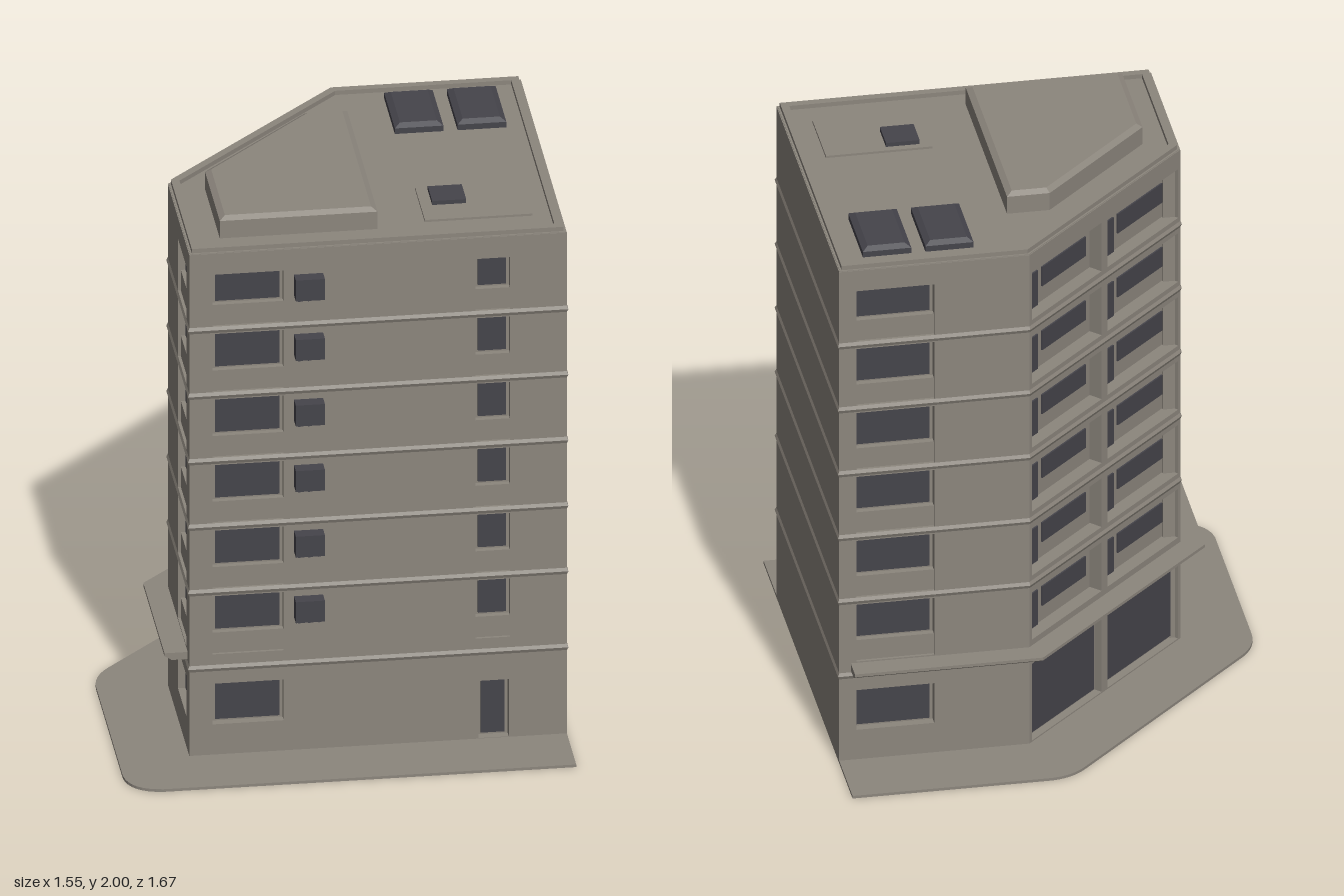
import * as THREE from 'three';

const concrete = new THREE.MeshStandardMaterial({ color: 0x8c867d });
concrete.name = 'concrete';
const dark = new THREE.MeshStandardMaterial({ color: 0x45444b });
dark.name = 'darkGlass';

// Plans are [x, z] lists, counter-clockwise when seen from above
const plan = [[-0.53, 0.59], [0.77, 0.59], [0.77, -0.59], [0.11, -0.59], [-0.53, 0.04]];
const floors = [0.38, 0.63, 0.88, 1.13, 1.38, 1.63];
const rect = (x0, x1, z0, z1) => [[x0, z1], [x1, z1], [x1, z0], [x0, z0]];

// Mitred outward offset of a plan
function offset(pts, d) {
  const n = pts.length;
  const normal = (a, b) => {
    const l = Math.hypot(b[0] - a[0], b[1] - a[1]);
    return [-(b[1] - a[1]) / l, (b[0] - a[0]) / l];
  };
  return pts.map((p, i) => {
    const m = normal(pts[(i + n - 1) % n], p), k = normal(p, pts[(i + 1) % n]);
    const s = d / (1 + m[0] * k[0] + m[1] * k[1]);
    return [p[0] + (m[0] + k[0]) * s, p[1] + (m[1] + k[1]) * s];
  });
}

// Closed solid through horizontal rings, given as [plan, y]
function loft(name, mat, rings) {
  const pos = [];
  const put = (r, i) => pos.push(r[0][i][0], r[1], r[0][i][1]);
  const n = rings[0][0].length;
  for (let k = 0; k + 1 < rings.length; k++) {
    const a = rings[k], b = rings[k + 1];
    for (let i = 0; i < n; i++) {
      const j = (i + 1) % n;
      put(a, i); put(a, j); put(b, j);
      put(a, i); put(b, j); put(b, i);
    }
  }
  const cap = (r, flip) => {
    const faces = THREE.ShapeUtils.triangulateShape(r[0].map(p => new THREE.Vector2(p[0], -p[1])), []);
    for (const f of faces) for (const i of flip ? [f[2], f[1], f[0]] : f) put(r, i);
  };
  cap(rings[0], true);
  cap(rings[rings.length - 1], false);
  const g = new THREE.BufferGeometry();
  g.setAttribute('position', new THREE.Float32BufferAttribute(pos, 3));
  g.computeVertexNormals();
  const m = new THREE.Mesh(g, mat);
  m.name = name;
  return m;
}

// Box given by its limits
function box(name, mat, x0, x1, y0, y1, z0, z1) {
  const m = new THREE.Mesh(new THREE.BoxGeometry(x1 - x0, y1 - y0, z1 - z0), mat);
  m.position.set((x0 + x1) / 2, (y0 + y1) / 2, (z0 + z1) / 2);
  m.name = name;
  return m;
}

const loop = (P, pts) => new P(pts.map(p => new THREE.Vector2(p[0], p[1])));
const hole = (x0, x1, y0, y1) => loop(THREE.Path, [[x0, y0], [x0, y1], [x1, y1], [x1, y0]]);

// Wall from plan corner i to the next; local x runs along it, local z points outward
function wall(name, i, openings) {
  const a = plan[i], b = plan[(i + 1) % plan.length];
  const len = Math.hypot(b[0] - a[0], b[1] - a[1]);
  const g = new THREE.Group();
  g.name = name;
  g.position.set(a[0], 0, a[1]);
  g.rotation.y = Math.atan2(-(b[1] - a[1]), b[0] - a[0]);
  const s = loop(THREE.Shape, [[0, 0], [len, 0], [len, 1.92], [0, 1.92]]);
  for (const o of openings) {
    s.holes.push(hole(o.x0, o.x1, o.y0, o.y1));
    g.add(box('recessBack', concrete, o.x0, o.x1, o.y0, o.y1, -0.058, -o.depth));
    for (const [x0, x1, y0, y1] of o.glass) {
      g.add(box('glass', dark, x0, x1, y0, y1, -o.depth, -o.depth + 0.006));
    }
    if (o.spandrel) g.add(box('spandrel', concrete, o.x0, o.x1, o.y0, o.spandrel, -0.055, -0.01));
  }
  const geo = new THREE.ExtrudeGeometry(s, { depth: 0.06, bevelEnabled: false });
  geo.translate(0, 0, -0.06);
  const m = new THREE.Mesh(geo, concrete);
  m.name = name + 'Panel';
  g.add(m);
  return g;
}

// One glazed opening, with or without a panel below the glass
function pane(x0, x1, y0, y1, spandrel) {
  const glass = [[x0 + 0.012, x1 - 0.012, (spandrel || y0) + 0.008, y1 - 0.008]];
  return { x0, x1, y0, y1, spandrel, glass, depth: 0.03 };
}
const column = (x0, x1) => floors.map((f, k) =>
  pane(x0, x1, f + 0.012, f + (k === 5 ? 0.21 : 0.234), f + 0.09));

// Recessed balcony with a door and a strip window
const loggia = (x0, x1, f) => ({
  x0, x1, y0: f + 0.03, y1: f + 0.22, depth: 0.05,
  glass: [[x0 + 0.015, x0 + 0.1, f + 0.03, f + 0.165], [x0 + 0.125, x1 - 0.03, f + 0.09, f + 0.165]],
});

export function createModel() {
  const model = new THREE.Group();
  model.name = 'apartmentBuilding';

  // Pavement with rounded corners
  const p = new THREE.Shape();
  p.moveTo(0.77, -0.83);
  p.lineTo(0.77, 0.84);
  p.lineTo(0.09, 0.84);
  p.quadraticCurveTo(0.015, 0.84, -0.04, 0.79);
  p.lineTo(-0.72, 0.11);
  p.quadraticCurveTo(-0.775, 0.05, -0.775, -0.03);
  p.lineTo(-0.775, -0.71);
  p.quadraticCurveTo(-0.765, -0.82, -0.65, -0.83);
  const pave = p.getPoints(8).map(v => [v.x, -v.y]);
  model.add(loft('pavement', concrete, [[pave, 0], [pave, 0.01]]));

  // Walls
  model.add(wall('frontWall', 0, [
    ...column(0.08, 0.325), ...column(0.985, 1.105),
    pane(0.08, 0.325, 0.125, 0.28), pane(0.995, 1.1, 0.012, 0.23),
  ]));
  model.add(wall('leftWall', 1, []));
  model.add(wall('backWall', 2, [...column(0.045, 0.33), pane(0.045, 0.33, 0.125, 0.28)]));
  const bays = [[0.015, 0.43], [0.465, 0.885]];
  model.add(wall('diagonalWall', 3, bays.flatMap(([x0, x1]) => [
    pane(x0, x1, 0.015, 0.315), ...floors.map(f => loggia(x0, x1, f)),
  ])));
  model.add(wall('rightWall', 4, [...column(0.26, 0.475), pane(0.26, 0.475, 0.125, 0.28)]));

  // Slight floor ridges
  for (const y of [0.34, ...floors.slice(1)]) {
    model.add(loft('floorRidge', concrete,
      [[plan, y - 0.012], [offset(plan, 0.005), y], [plan, y + 0.012]]));
  }

  // Canopy above the ground floor
  const canopy = d => [[0.73, -0.59 - d], [0.11 - d * 0.41, -0.59 - d], [-0.53 - d, 0.04 - d * 0.41],
    [-0.53 - d, 0.55], [-0.51, 0.55], [-0.51, 0.04], [0.11, -0.57], [0.73, -0.57]];
  model.add(loft('canopy', concrete,
    [[canopy(0.055), 0.36], [canopy(0.08), 0.376], [canopy(0.08), 0.387]]));

  // Air conditioners on the front
  for (const f of floors) {
    const t = f + (f > 1.6 ? 0.195 : 0.218);
    const ac = new THREE.Group();
    ac.name = 'airConditioner';
    ac.add(box('unit', dark, -0.17, -0.07, t - 0.08, t, 0.595, 0.642));
    for (const x of [-0.155, -0.12, -0.085]) {
      ac.add(box('bracket', dark, x - 0.004, x + 0.004, t - 0.095, t - 0.078, 0.585, 0.615));
    }
    model.add(ac);
  }

  // Roof and parapet
  const roof = offset(plan, -0.003);
  model.add(loft('roof', concrete, [[roof, 1.9], [roof, 1.922]]));
  const rim = loop(THREE.Shape, offset(plan, -0.01).map(q => [q[0], -q[1]]));
  rim.holes.push(loop(THREE.Path, offset(plan, -0.038).map(q => [q[0], -q[1]])));
  const rimGeo = new THREE.ExtrudeGeometry(rim, { depth: 0.02, bevelEnabled: false });
  rimGeo.rotateX(-Math.PI / 2);
  const parapet = new THREE.Mesh(rimGeo, concrete);
  parapet.name = 'parapet';
  parapet.position.y = 1.918;
  model.add(parapet);

  // Rooftop block
  const block = [[-0.41, 0.48], [0.133, 0.48], [0.133, -0.295], [-0.015, -0.295], [-0.41, 0.1]];
  model.add(loft('roofBlock', concrete,
    [[block, 1.915], [block, 1.988], [offset(block, -0.02), 2]]));

  // Skylights and roof hatch
  for (const [x0, x1] of [[0.288, 0.455], [0.504, 0.672]]) {
    const s = rect(x0, x1, -0.505, -0.23);
    model.add(loft('skylight', dark, [[s, 1.918], [s, 1.943], [offset(s, -0.02), 1.955]]));
  }
  const pad = rect(0.3, 0.67, 0.2, 0.45), hatch = rect(0.34, 0.457, 0.225, 0.34);
  model.add(loft('hatchPad', concrete, [[pad, 1.918], [pad, 1.93]]));
  model.add(loft('hatch', dark, [[hatch, 1.925], [hatch, 1.945]]));
  return model;
}
